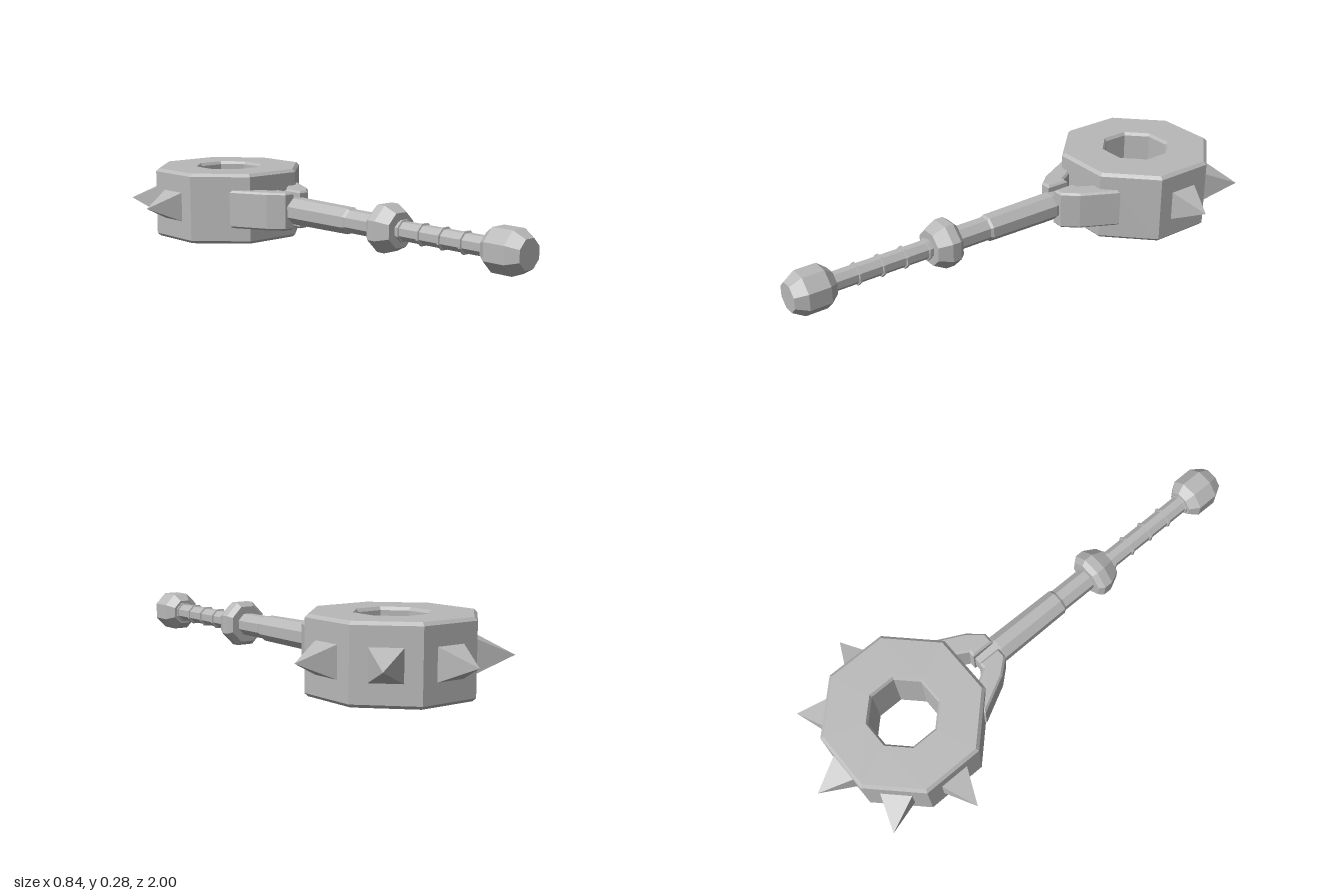
import * as THREE from 'three';

const steel = new THREE.MeshStandardMaterial({ color: 0xb8b8b8, flatShading: true });
steel.name = 'steel grey';

const AXIS_Y = 0.143;   // height of the handle axis
const HEAD_Z = -0.58;   // centre of the ring head
const SIDES = 8;
const TO_CORNER = 1 / Math.cos(Math.PI / SIDES);

// Octagonal turned part; profile is [flat-side radius, height] pairs
function octagon(profile) {
  const points = profile.map(([r, y]) => new THREE.Vector2(r * TO_CORNER, y));
  return new THREE.LatheGeometry(points, SIDES, Math.PI / SIDES);
}

function add(parent, name, geometry) {
  const mesh = new THREE.Mesh(geometry, steel);
  mesh.name = name;
  parent.add(mesh);
  return mesh;
}

// Octagonal part along the handle; profile is [radius, z] pairs, back to front
function addTurned(parent, name, profile) {
  const mesh = add(parent, name, octagon(profile).rotateX(Math.PI / 2));
  mesh.position.y = AXIS_Y;
  return mesh;
}

export function createModel() {
  const model = new THREE.Group();
  model.name = 'spikedMace';

  // Ring head with chamfered rims and a through hole
  const head = add(model, 'ringHead', octagon([
    [0.278, 0], [0.29, 0.012], [0.29, 0.273], [0.278, 0.285],
    [0.131, 0.285], [0.123, 0.273], [0.123, 0.012], [0.131, 0], [0.278, 0],
  ]));
  head.position.z = HEAD_Z;

  // Five pyramid spikes around the back half
  const spikeGeometry = new THREE.ConeGeometry(0.061 * Math.SQRT2, 0.135, 4, 1, false, Math.PI / 4)
    .rotateX(-Math.PI / 2).translate(0, 0, -0.3525);
  for (let i = -2; i <= 2; i++) {
    const spike = add(model, 'spike', spikeGeometry);
    spike.position.set(0, AXIS_Y, HEAD_Z);
    spike.rotation.y = i * Math.PI / 4;
  }

  // Forked bracket: one bevelled arm on each side
  const bevel = 0.008;
  for (const side of [1, -1]) {
    const outline = [
      [0.025, -0.15], [0.056, -0.15], [0.103, -0.204], [0.172, -0.338],
      [0.12, -0.36], [0.085, -0.295], [0.046, -0.228], [0.025, -0.228],
    ].map(([x, z]) => new THREE.Vector2(x * side, -z));
    const arm = add(model, side > 0 ? 'leftBracketArm' : 'rightBracketArm',
      new THREE.ExtrudeGeometry(new THREE.Shape(outline), {
        depth: 0.136, bevelEnabled: true, bevelSize: bevel, bevelThickness: bevel, bevelSegments: 1,
      }).rotateX(-Math.PI / 2));
    arm.position.y = AXIS_Y - 0.068;
  }

  // Shaft, thicker towards the head
  addTurned(model, 'shaft', [
    [0, -0.23], [0.04, -0.23], [0.052, -0.13], [0.049, 0.17], [0.043, 0.18], [0.043, 0.34], [0, 0.34],
  ]);

  // Guard, grip and pommel
  addTurned(model, 'guard', [
    [0, 0.325], [0.072, 0.325], [0.088, 0.345], [0.088, 0.38], [0.064, 0.43], [0, 0.43],
  ]);
  addTurned(model, 'grip', [[0, 0.42], [0.034, 0.42], [0.034, 0.85], [0, 0.85]]);
  addTurned(model, 'pommel', [
    [0, 0.835], [0.05, 0.835], [0.077, 0.87], [0.077, 0.955], [0.052, 1], [0, 1],
  ]);

  // Raised rings along the grip
  for (let i = 0; i < 5; i++) {
    const z = 0.445 + i * 0.097;
    addTurned(model, 'gripRing', [
      [0.03, z - 0.007], [0.04, z - 0.004], [0.04, z + 0.004], [0.03, z + 0.007],
    ]);
  }

  return model;
}
